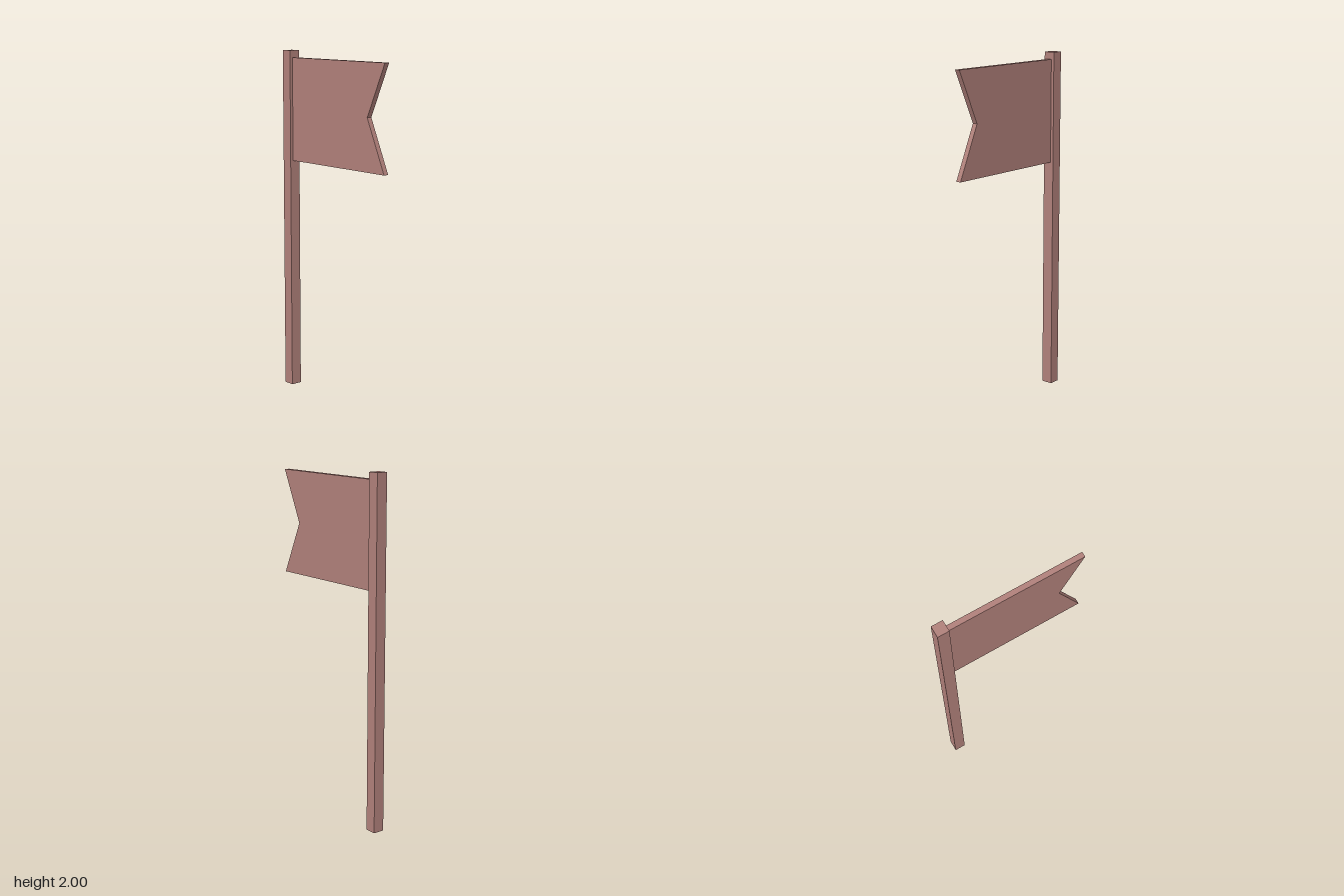
import * as THREE from 'three';

export function createModel() {
  const group = new THREE.Group();
  const material = new THREE.MeshStandardMaterial({ color: 0xb0807a, flatShading: true });

  // Square pole
  const poleWidth = 0.066;
  const pole = new THREE.Mesh(new THREE.BoxGeometry(poleWidth, 2, poleWidth), material);
  pole.name = 'pole';
  pole.position.set(-0.391, 1, 0);
  group.add(pole);

  // Swallow-tailed flag, a flat slab meeting the pole's side
  const thickness = 0.03;
  const outline = new THREE.Shape([
    new THREE.Vector2(-0.358, 1.363),
    new THREE.Vector2(0.424, 1.363),
    new THREE.Vector2(0.287, 1.661),
    new THREE.Vector2(0.424, 1.959),
    new THREE.Vector2(-0.358, 1.959),
  ]);
  const flagGeometry = new THREE.ExtrudeGeometry(outline, { depth: thickness, bevelEnabled: false });
  flagGeometry.translate(0, 0, -thickness / 2);
  const flag = new THREE.Mesh(flagGeometry, material);
  flag.name = 'flag';
  group.add(flag);

  return group;
}
